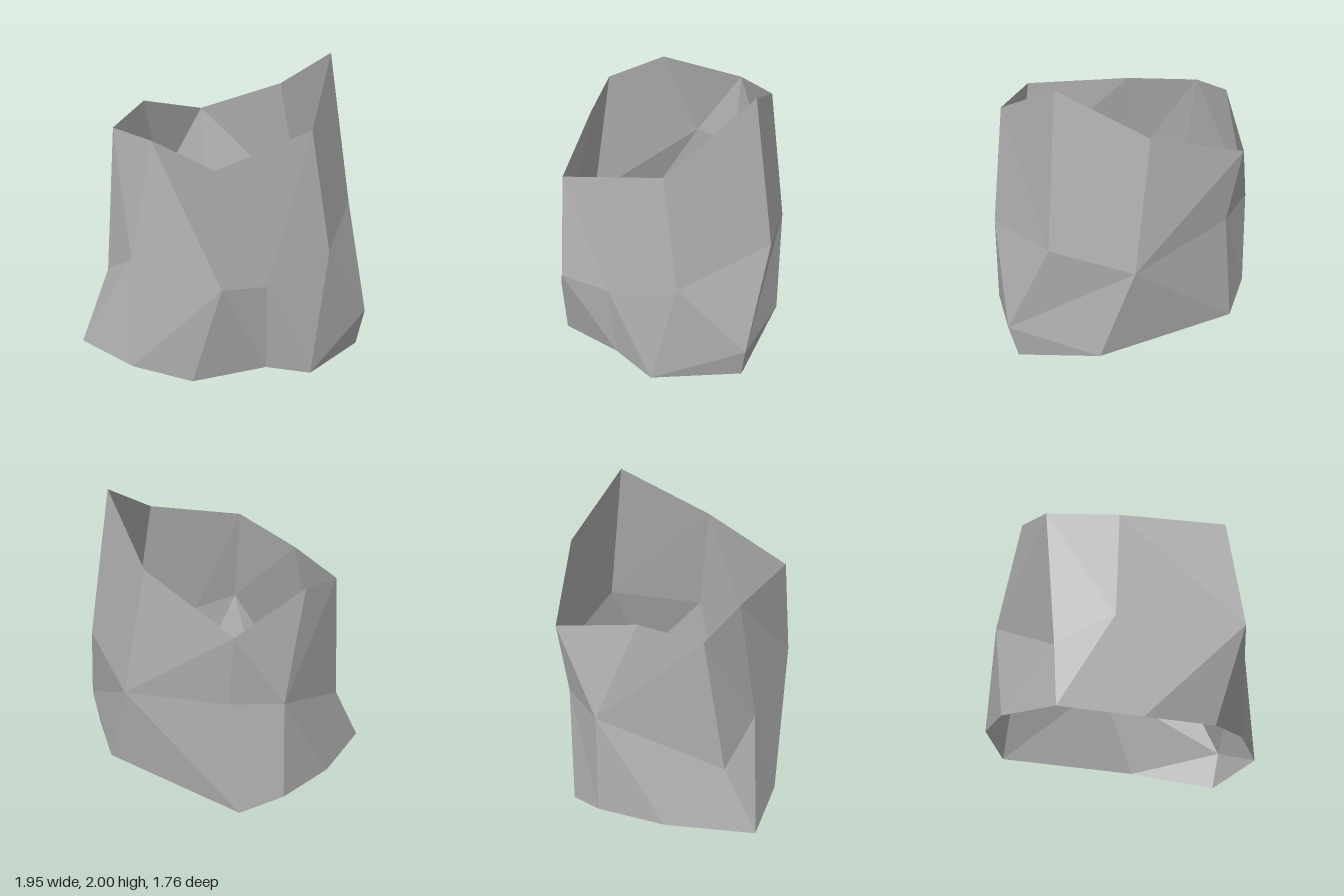
import * as THREE from 'three';

// Rings run from the front towards +x, then round the back.
const topRing = [
  [-0.04, 1.45, 0.79], [0.55, 1.62, 0.48], [0.70, 2.00, -0.11], [0.39, 1.70, -0.58],
  [-0.19, 1.45, -0.88], [-0.58, 1.59, -0.49], [-0.76, 1.48, -0.14], [-0.47, 1.49, 0.24],
];
const middleRing = [
  [0, 0.72, 0.88], [0.28, 0.68, 0.72], [0.68, 0.82, 0.48], [0.86, 0.96, -0.16], [0.55, 0.80, -0.60],
  [-0.15, 0.92, -0.81], [-0.49, 0.91, -0.75], [-0.81, 0.50, 0], [-0.61, 0.70, 0.31],
];
const bottomRing = [
  [-0.19, 0.03, 0.74], [0.28, 0.10, 0.67], [0.57, 0.03, 0.61], [0.97, 0.26, 0.13], [0.71, 0.14, -0.44],
  [-0.23, 0.08, -0.85], [-0.51, 0.18, -0.77], [-0.78, 0.14, -0.41], [-0.98, 0.03, 0.16], [-0.60, 0.01, 0.50],
];
const spurTip = [0.92, 0, 0.10];

// Joins two rings of different counts; each letter says which ring steps on.
function stitch(upper, lower, steps) {
  const faces = [];
  let u = 0, l = 0;
  for (const step of steps) {
    const a = upper[u % upper.length], b = lower[l % lower.length];
    const next = step === 'U' ? upper[++u % upper.length] : lower[++l % lower.length];
    faces.push(a, b, next);
  }
  return faces;
}

function facetMesh(name, corners, material) {
  const geometry = new THREE.BufferGeometry();
  geometry.setAttribute('position', new THREE.Float32BufferAttribute(corners.flat(), 3));
  geometry.computeVertexNormals();
  const mesh = new THREE.Mesh(geometry, material);
  mesh.name = name;
  return mesh;
}

export function createModel() {
  const group = new THREE.Group();
  group.name = 'hollowStump';
  const grey = new THREE.MeshStandardMaterial({ color: 0xb0b0b0, side: THREE.DoubleSide, flatShading: true });
  grey.name = 'grey';

  // Open shell in two bands
  group.add(facetMesh('upperWall', stitch(topRing, middleRing, 'LULLULUULLUULLULU'), grey));
  group.add(facetMesh('lowerWall', stitch(middleRing, bottomRing, 'LULULUULLULULULULUL'), grey));

  // Small spur reaching the ground below the widest point
  const [, , front, wide, back] = bottomRing;
  group.add(facetMesh('rootSpur', [front, spurTip, wide, wide, spurTip, back], grey));
  return group;
}
